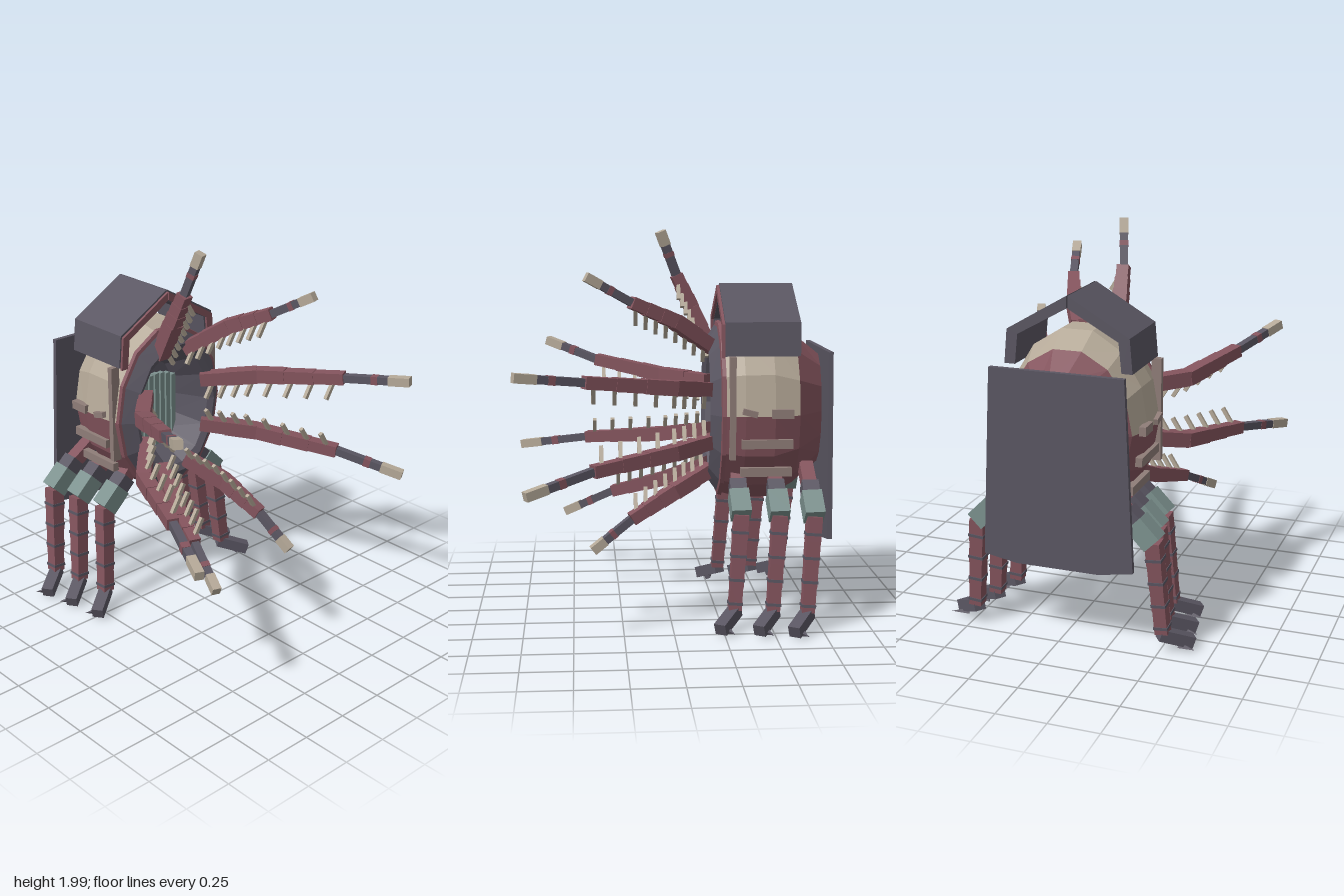
import * as THREE from 'three';

const mat = (name, color) => {
  const m = new THREE.MeshStandardMaterial({ color, flatShading: true, side: THREE.DoubleSide });
  m.name = name;
  return m;
};
const CX = -0.02, CY = 1.08; // axis of the barrel body

export function createModel() {
  const slate = mat('slate', 0x5a5662), red = mat('dull red', 0x84545d), cream = mat('cream', 0xb5a998);
  const teal = mat('grey green', 0x7b908d), taupe = mat('taupe', 0x8f7d78);
  const model = new THREE.Group();
  const V = (x, y, z) => new THREE.Vector3(x, y, z);

  const add = (parent, name, geo, material) => {
    const m = new THREE.Mesh(geo, material);
    m.name = name;
    parent.add(m);
    return m;
  };
  const box = (parent, name, material, w, h, d, x, y, z) => {
    const m = add(parent, name, new THREE.BoxGeometry(w, h, d), material);
    m.position.set(x, y, z);
    return m;
  };
  // Box running from a to b; up picks its roll
  const bar = (parent, name, material, a, b, w, h, up = V(0, 1, 0)) => {
    const m = box(parent, name, material, w, h, a.distanceTo(b), 0, 0, 0);
    m.position.copy(a).lerp(b, 0.5);
    m.up.copy(up);
    m.lookAt(b);
    return m;
  };
  const group = (name) => {
    const g = new THREE.Group();
    g.name = name;
    model.add(g);
    return g;
  };
  // Skin over elliptical rings [rx, ry, z], from angle a0 to a1
  const shell = (name, rings, material, a0 = 0, a1 = Math.PI * 2, n = 14) => {
    const pos = [], idx = [];
    rings.forEach(([rx, ry, z]) => {
      for (let i = 0; i <= n; i++) {
        const a = a0 + (a1 - a0) * i / n;
        pos.push(CX + rx * Math.cos(a), CY + ry * Math.sin(a), z);
      }
    });
    for (let r = 0; r < rings.length - 1; r++) for (let i = 0; i < n; i++) {
      const p = r * (n + 1) + i, q = p + n + 1;
      idx.push(p, q, p + 1, p + 1, q, q + 1);
    }
    const g = new THREE.BufferGeometry();
    g.setAttribute('position', new THREE.Float32BufferAttribute(pos, 3));
    g.setIndex(idx);
    g.computeVertexNormals();
    return add(model, name, g, material);
  };
  const extrude = (name, pts, z, depth, material) => {
    const g = new THREE.ExtrudeGeometry(new THREE.Shape(pts.map(p => new THREE.Vector2(...p))), { depth, bevelEnabled: false });
    return add(model, name, g.translate(0, 0, z), material);
  };

  // Barrel body
  const barrel = [[0.345, 0.45, -0.275], [0.362, 0.475, -0.37], [0.362, 0.475, -0.52], [0.325, 0.40, -0.65]];
  shell('upperBody', barrel, cream, 0, Math.PI, 7);
  shell('lowerBody', barrel, red, Math.PI, Math.PI * 2, 7);
  shell('backCone', [[0.325, 0.40, -0.65], [0.17, 0.29, -0.785]], red);
  shell('frontBand', [[0.345, 0.45, -0.275], [0.352, 0.465, -0.275], [0.35, 0.46, -0.255], [0.325, 0.43, -0.25]], red);

  // Dark funnel mouth with slats
  shell('mouthRim', [[0.335, 0.44, -0.25], [0.27, 0.37, -0.20], [0.24, 0.33, -0.22], [0.15, 0.235, -0.40], [0, 0, -0.40]], slate);
  const slats = group('mouthSlats');
  for (let i = 0; i < 7; i++) {
    const x = -0.135 + i * 0.0385, e = (i - 3) / 3;
    const s = box(slats, 'mouthSlat', teal, 0.034, 0.42 - 0.06 * e * e, 0.03, x, 1.03, -0.375);
    s.rotation.y = 0.2;
  }

  // Canopy in two halves, with a red front edge
  for (const s of [-1, 1]) {
    const X = d => CX + s * d;
    const roof = t => [[X(0.003), 1.73], [X(0.31), 1.55], [X(0.325), 1.38], [X(0.325 - t), 1.38],
      [X(0.31 - t), 1.55 - t * 0.4], [X(0.003), 1.73 - t * 1.1]];
    extrude('canopy', roof(0.055), -0.648, 0.38, slate);
    extrude('canopyTrim', roof(0.04).map(([x, y]) => [CX + (x - CX) * 0.98, y - 0.01]), -0.268, 0.014, red);
  }

  // Back panel
  extrude('backPanel', [[-0.36, 1.4], [-0.405, 0.455], [-0.23, 0.425], [0.19, 0.425], [0.36, 0.455], [0.315, 1.4]], -0.81, 0.025, slate);

  // Side fittings
  for (const s of [-1, 1]) {
    box(model, 'sidePost', taupe, 0.05, 0.52, 0.03, CX + s * 0.335, 1.12, -0.305);
    [[0.79, 0.30], [0.94, 0.345], [1.095, 0.362]].forEach(([y, x], i) =>
      box(model, 'sideSlat', taupe, 0.035, 0.045, i < 2 ? 0.26 : 0.11, CX + s * x, y, i < 2 ? -0.48 : -0.555));
    const flap = box(model, 'sideTab', taupe, 0.035, 0.03, 0.075, CX + s * 0.362, 1.10, -0.39);
    flap.rotation.x = -0.25;
  }

  // Six legs
  const zUp = V(0, 0, 1);
  for (const s of [-1, 1]) [[-0.34, 0], [-0.53, 0.03], [-0.70, 0.065]].forEach(([z, out]) => {
    const leg = group('leg');
    const P = (x, y, dz) => V(CX + s * (x + out), y, z + dz);
    bar(leg, 'hip', red, V(CX + s * 0.19, 0.80, z), P(0.28, 0.70, 0), 0.07, 0.07, zUp);
    bar(leg, 'hipCollar', slate, P(0.25, 0.725, 0), P(0.31, 0.67, 0), 0.085, 0.085, zUp);
    bar(leg, 'hipBlock', teal, P(0.30, 0.68, 0), P(0.395, 0.585, -0.005), 0.10, 0.10, zUp);
    const knee = P(0.39, 0.59, -0.005), ankle = P(0.43, 0.11, 0.03);
    const at = t => knee.clone().lerp(ankle, t);
    for (let i = 0; i < 4; i++) {
      const w = 0.074 - i * 0.003;
      bar(leg, 'shin', red, at(i / 4), at((i + 1) / 4), w, w, zUp);
      bar(leg, 'shinBand', slate, at((i + 1) / 4 - 0.085), at((i + 1) / 4 - 0.055), w + 0.007, w + 0.007, zUp);
    }
    bar(leg, 'foot', slate, P(0.415, 0.105, 0.02), P(0.555, 0.044, 0.115), 0.062, 0.06);
    const spur = add(leg, 'spur', new THREE.ConeGeometry(0.022, 0.09, 4), slate);
    spur.position.copy(P(0.545, 0.03, 0.062));
    spur.quaternion.setFromUnitVectors(V(0, 1, 0), V(s * 0.9, 0, -0.35).normalize());
  });

  // Eight arms: base, elbow, wrist, tip
  const arms = [
    [[-0.10, 1.40, -0.23], [-0.10, 1.60, -0.13], [-0.09, 1.77, -0.05], [-0.06, 1.995, 0.035]],
    [[0.07, 1.40, -0.23], [0.19, 1.55, -0.02], [0.28, 1.65, 0.20], [0.345, 1.78, 0.425]],
    [[0.18, 1.20, -0.23], [0.38, 1.235, 0.0], [0.58, 1.29, 0.44], [0.71, 1.33, 0.77]],
    [[-0.20, 1.20, -0.23], [-0.42, 1.21, 0.0], [-0.58, 1.28, 0.36], [-0.74, 1.375, 0.635]],
    [[-0.20, 0.94, -0.23], [-0.42, 0.88, 0.0], [-0.59, 0.84, 0.42], [-0.755, 0.775, 0.79]],
    [[0.18, 0.94, -0.23], [0.38, 0.91, 0.0], [0.59, 0.86, 0.40], [0.755, 0.775, 0.72]],
    [[-0.11, 0.77, -0.22], [-0.23, 0.66, 0.02], [-0.325, 0.58, 0.28], [-0.415, 0.45, 0.54]],
    [[0.06, 0.77, -0.22], [0.16, 0.67, -0.02], [0.215, 0.54, 0.20], [0.245, 0.385, 0.40]],
  ];
  arms.forEach(points => {
    const arm = group('arm');
    const [a, b, c, d] = points.map(p => V(...p));
    const mix = (p, q, t) => p.clone().lerp(q, t);
    bar(arm, 'armRoot', red, a, mix(a, b, 0.5), 0.07, 0.07);
    bar(arm, 'armRoot', red, mix(a, b, 0.45), b, 0.076, 0.076);
    for (let i = 0; i < 3; i++)
      bar(arm, 'armSegment', red, mix(b, c, i / 3 - 0.03), mix(b, c, (i + 1) / 3), 0.073 - i * 0.006, 0.073 - i * 0.006);
    bar(arm, 'wrist', slate, c, mix(c, d, 0.7), 0.04, 0.04);
    bar(arm, 'wristBand', red, mix(c, d, 0.42), mix(c, d, 0.52), 0.044, 0.044);
    bar(arm, 'armTip', cream, mix(c, d, 0.68), d, 0.046, 0.046);
    // Row of spikes pointing in toward the body axis
    const vert = Math.sign(CY - c.y);
    for (let i = 0; i < 8; i++) {
      const t = 0.25 + i * 0.235;
      const p = t < 1 ? mix(a, b, t) : mix(b, c, t - 1);
      const inward = V(-Math.sign(c.x) * 0.065, vert * 0.105, 0);
      bar(arm, 'spike', cream, p, p.clone().add(inward), 0.02, 0.02, zUp);
    }
  });
  return model;
}
